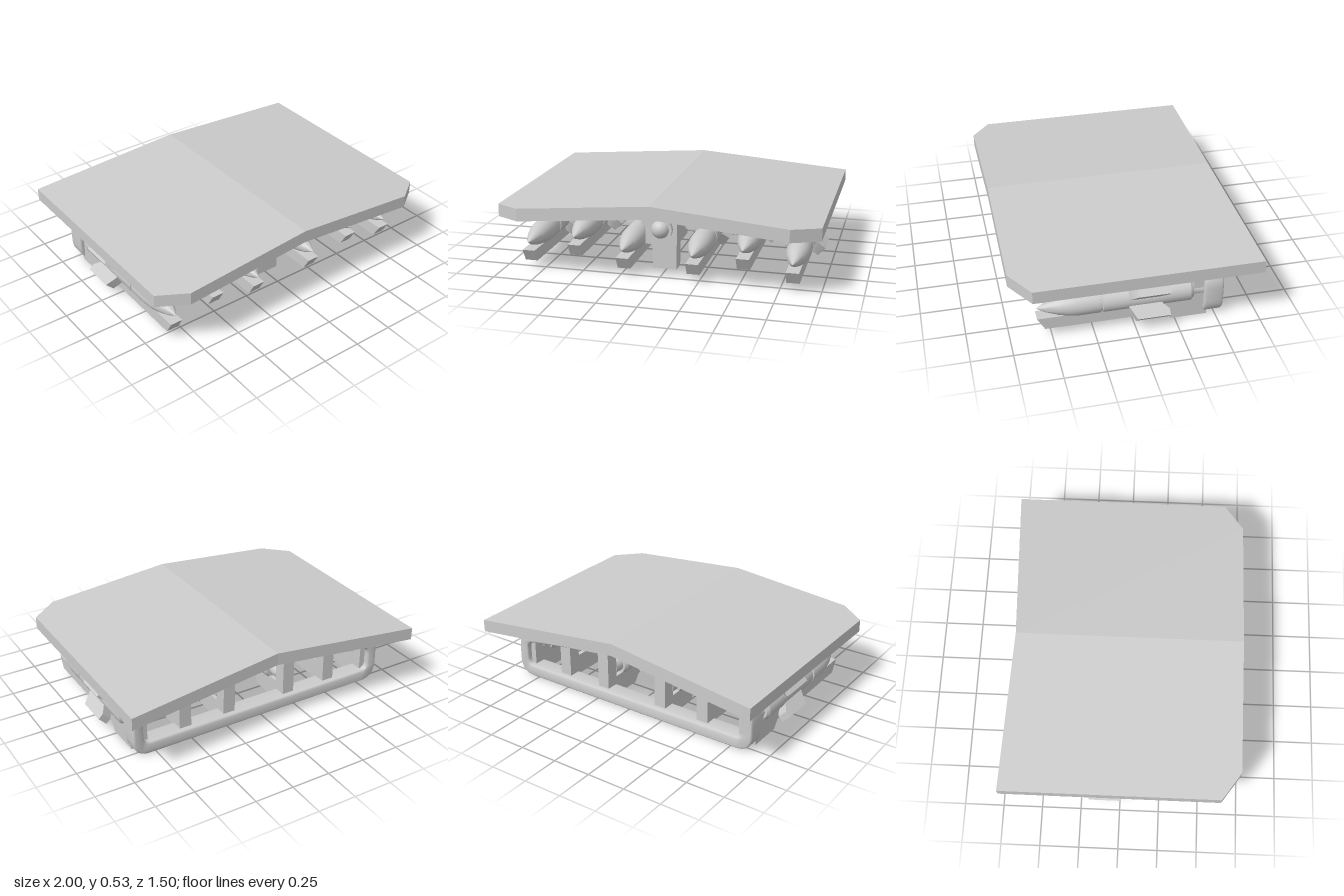
import * as THREE from 'three';
import { toCreasedNormals } from 'three/addons/utils/BufferGeometryUtils.js';

const mat = new THREE.MeshStandardMaterial({ color: 0xcccccc });

function add(parent, name, geo, x = 0, y = 0, z = 0) {
  const m = new THREE.Mesh(toCreasedNormals(geo, 0.6), mat);
  m.name = name;
  m.position.set(x, y, z);
  parent.add(m);
  return m;
}

// box given by its limits on each axis
function block(parent, name, x0, x1, y0, y1, z0, z1) {
  return add(parent, name, new THREE.BoxGeometry(x1 - x0, y1 - y0, z1 - z0),
    (x0 + x1) / 2, (y0 + y1) / 2, (z0 + z1) / 2);
}

const poly = pts => new THREE.Shape(pts.map(p => new THREE.Vector2(...p)));

// side profile in (z, y), extruded across x about the centre
function sideExtrude(pts, width) {
  const g = new THREE.ExtrudeGeometry(poly(pts), { depth: width, bevelEnabled: false });
  g.translate(0, 0, -width / 2);
  return g.rotateY(-Math.PI / 2);
}

// half of the pitched roof: plan in (x, z), sheared down away from the ridge
function roofHalf(side) {
  const plan = [[0, -0.7], [1, -0.75], [1, 0.625], [0.83, 0.745], [0, 0.745]];
  const g = new THREE.ExtrudeGeometry(poly(plan.map(([x, z]) => [x * side, z])),
    { depth: 0.08, bevelEnabled: false });
  g.rotateX(Math.PI / 2);
  const p = g.attributes.position;
  for (let i = 0; i < p.count; i++) p.setY(i, p.getY(i) + 0.53 - 0.09 * Math.abs(p.getX(i)));
  g.computeVertexNormals();
  return g;
}

// closed outline with rounded corners
function roundedPath(pts, r, Type) {
  const s = new Type();
  const v = pts.map(p => new THREE.Vector2(...p));
  v.forEach((c, i) => {
    const prev = v[(i + v.length - 1) % v.length], next = v[(i + 1) % v.length];
    const a = c.clone().add(prev.clone().sub(c).setLength(r));
    const b = c.clone().add(next.clone().sub(c).setLength(r));
    if (i) s.lineTo(a.x, a.y); else s.moveTo(a.x, a.y);
    s.quadraticCurveTo(c.x, c.y, b.x, b.y);
  });
  s.closePath();
  return s;
}

// rocket with ogive nose, seam groove and four swept fins
function rocket(finReach) {
  const g = new THREE.Group();
  g.name = 'rocket';
  const profile = [[0, -0.36], [0.06, -0.36], [0.074, -0.34], [0.074, 0.195], [0.066, 0.197],
    [0.066, 0.208], [0.074, 0.21], [0.074, 0.34], [0.068, 0.4], [0.054, 0.46], [0.03, 0.53], [0, 0.587]];
  const body = new THREE.LatheGeometry(profile.map(p => new THREE.Vector2(...p)), 24);
  add(g, 'rocketBody', body.rotateX(Math.PI / 2));
  const nozzle = new THREE.CylinderGeometry(0.045, 0.045, 0.08, 20).rotateX(Math.PI / 2);
  add(g, 'rocketNozzle', nozzle, 0, 0, -0.39);
  for (let i = 0; i < 4; i++) {
    const f = new THREE.ExtrudeGeometry(
      poly([[0.04, 0.04], [0.07, 0.04], [finReach, 0], [finReach, -0.2], [0.11, -0.2], [0.07, -0.16], [0.04, -0.16]]),
      { depth: 0.07, bevelEnabled: false });
    f.translate(0, 0, -0.035).rotateX(Math.PI / 2);
    add(g, 'rocketFin', f).rotation.z = Math.PI / 4 + i * Math.PI / 2;
  }
  return g;
}

export function createModel() {
  const root = new THREE.Group();
  root.name = 'rocketRack';

  for (const s of [1, -1]) add(root, 'roofHalf', roofHalf(s));

  // rounded hoop at the back
  const outer = [[-0.885, 0.015], [0.885, 0.015], [0.885, 0.3], [0.2, 0.405], [-0.2, 0.405], [-0.885, 0.3]];
  const inner = [[-0.84, 0.07], [0.84, 0.07], [0.84, 0.255], [0.2, 0.355], [-0.2, 0.355], [-0.84, 0.255]];
  const hoop = roundedPath(outer, 0.1, THREE.Shape);
  hoop.holes.push(roundedPath(inner, 0.06, THREE.Path));
  const hoopGeo = new THREE.ExtrudeGeometry(hoop, {
    depth: 0.09, bevelSize: 0.012, bevelThickness: 0.015, bevelSegments: 3, curveSegments: 8 });
  add(root, 'backHoop', hoopGeo, 0, 0, -0.53);

  // six rockets on stepped rails with a post at the back end
  const railProfile = [[0.587, -0.05], [0.54, -0.13], [-0.19, -0.13], [-0.225, -0.182], [-0.45, -0.182], [-0.45, -0.05]];
  for (const s of [1, -1]) {
    for (const [x, y, reach, top] of [[0.83, 0.187, 0.15, 0.275], [0.53, 0.247, 0.15, 0.32], [0.22, 0.187, 0.125, 0.37]]) {
      const r = rocket(reach);
      r.position.set(s * x, y, 0);
      root.add(r);
      add(root, 'rail', sideExtrude(railProfile, 0.08), s * x, y, 0);
      block(root, 'railPost', s * x - 0.04, s * x + 0.04, 0.05, top, -0.51, -0.425);
    }
  }
  for (const s of [1, -1]) block(root, 'endBracket', s * 0.83 - 0.04, s * 0.83 + 0.04, 0.06, 0.275, -0.45, -0.365);

  // central sensor housing under the ridge
  block(root, 'housing', -0.19, 0.19, 0.25, 0.46, -0.15, 0.25);
  block(root, 'housingNose', -0.1, 0.1, 0.205, 0.46, 0.2, 0.47);
  add(root, 'lowerPod', sideExtrude([[0.39, 0.21], [0.39, 0.022], [0.31, 0.022], [0.29, 0.055], [0.29, 0.21]], 0.155));
  const ring = new THREE.CylinderGeometry(0.075, 0.075, 0.04, 24).rotateX(Math.PI / 2);
  add(root, 'lensRing', ring, 0, 0.31, 0.475);
  add(root, 'lens', new THREE.SphereGeometry(0.06, 24, 16), 0, 0.31, 0.475);
  for (const s of [1, -1]) {
    const knob = new THREE.CylinderGeometry(0.058, 0.058, 0.06, 8).rotateY(Math.PI / 8).rotateZ(Math.PI / 2);
    add(root, 'sideKnob', knob, s * 0.205, 0.343, 0.09);
  }
  return root;
}
